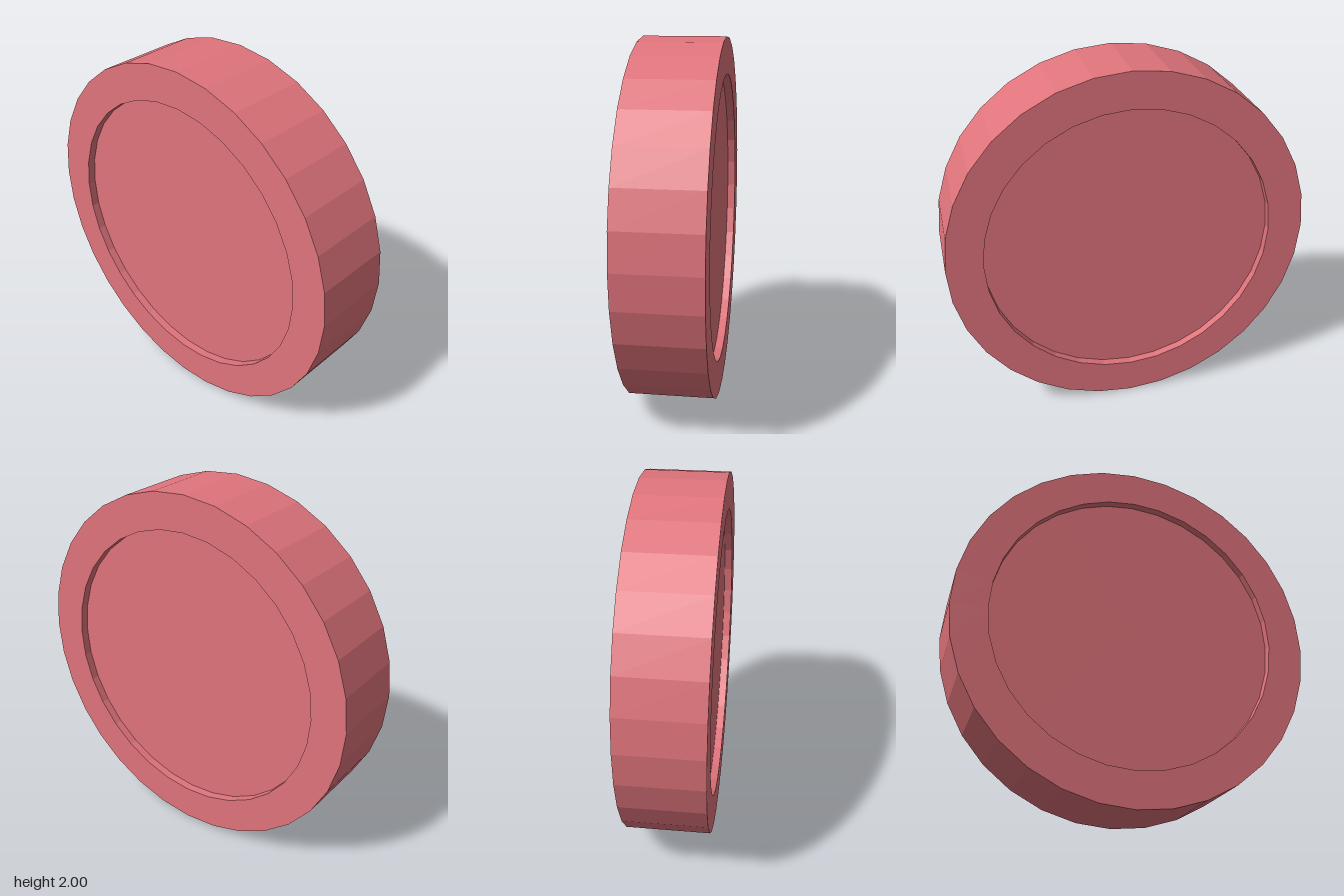
import * as THREE from 'three';

const SIDES = 32;
const RADIUS = 1;
const RECESS_RADIUS = 0.8;
const HALF_WIDTH = 0.225;
const RECESS_DEPTH = 0.046;

export function createModel() {
  const group = new THREE.Group();
  group.name = 'wheel';

  // Half section of the disc: rim, tread and a shallow recess on both faces
  const floor = HALF_WIDTH - RECESS_DEPTH;
  const profile = [
    [0, -floor],
    [RECESS_RADIUS, -floor],
    [RECESS_RADIUS, -HALF_WIDTH],
    [RADIUS, -HALF_WIDTH],
    [RADIUS, HALF_WIDTH],
    [RECESS_RADIUS, HALF_WIDTH],
    [RECESS_RADIUS, floor],
    [0, floor],
  ].map(([r, y]) => new THREE.Vector2(r, y));

  // Lay the axle along x and stand the wheel on the ground
  const geometry = new THREE.LatheGeometry(profile, SIDES);
  geometry.rotateZ(Math.PI / 2);
  geometry.translate(0, RADIUS, 0);

  const material = new THREE.MeshStandardMaterial({ color: 0xe0747c, flatShading: true });
  const disc = new THREE.Mesh(geometry, material);
  disc.name = 'wheelDisc';
  group.add(disc);

  return group;
}
